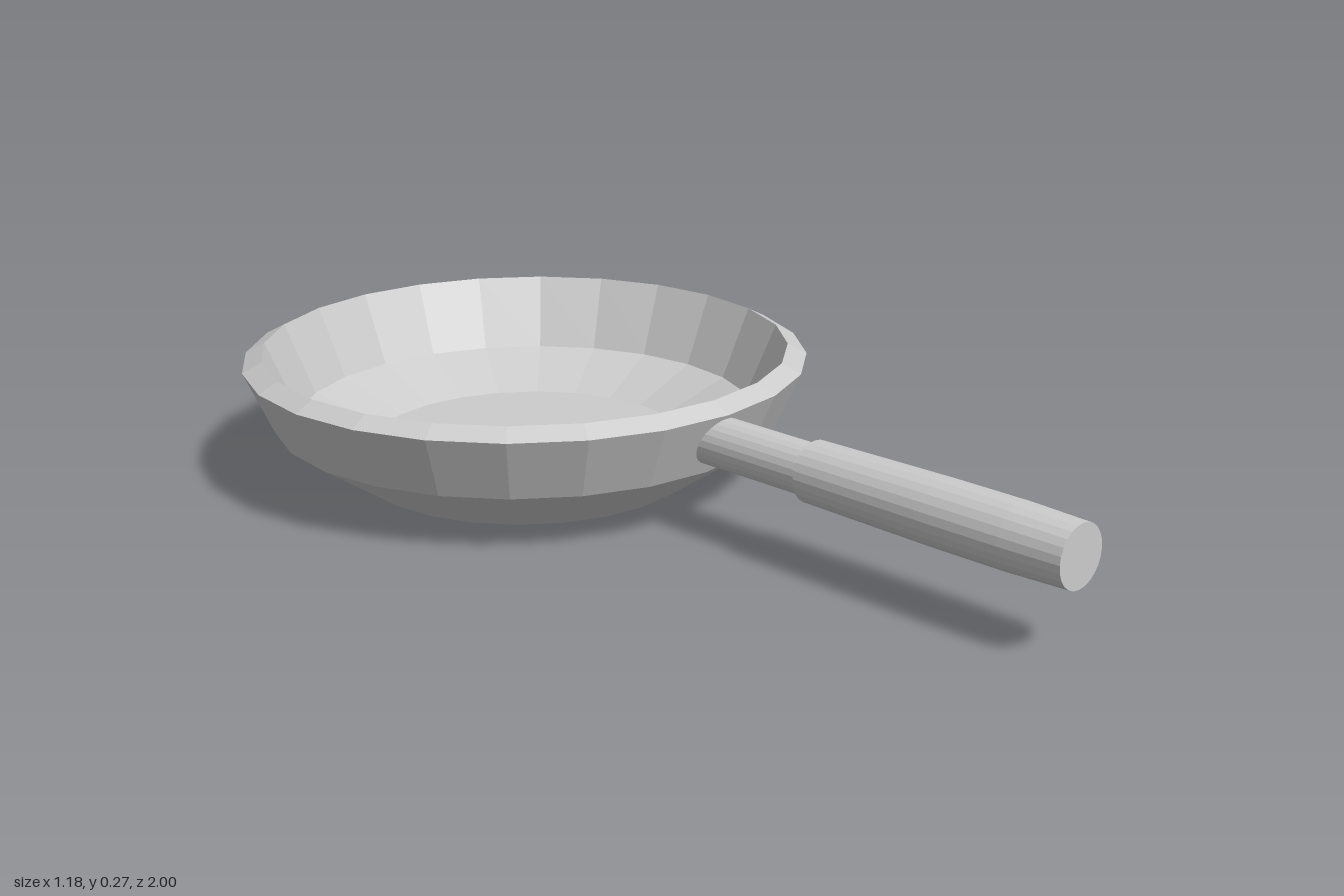
import * as THREE from 'three';

const material = new THREE.MeshStandardMaterial({ color: 0xcccccc, flatShading: true });

// Turned part from [radius, height] pairs
function turned(name, profile, sides) {
  const points = profile.map(([r, y]) => new THREE.Vector2(r, y));
  const mesh = new THREE.Mesh(new THREE.LatheGeometry(points, sides), material);
  mesh.name = name;
  return mesh;
}

export function createModel() {
  const group = new THREE.Group();
  group.name = 'fryingPan';

  // Pan: outer underside and wall, bevelled rim, inner wall and floor
  const pan = turned('pan', [
    [0, 0], [0.352, 0], [0.53, 0.12], [0.59, 0.252], [0.55, 0.273],
    [0.485, 0.123], [0.335, 0.06], [0, 0.06],
  ], 24);
  pan.position.z = -0.41;
  group.add(pan);

  // Handle: thin neck through the wall, then a slightly swollen grip
  const handle = new THREE.Group();
  handle.name = 'handle';
  handle.add(turned('neck', [[0, 0.121], [0.051, 0.121], [0.051, 0.42], [0, 0.42]], 24));
  handle.add(turned('grip', [
    [0, 0.4], [0.061, 0.4], [0.065, 0.7], [0.065, 0.87], [0.061, 1], [0, 1],
  ], 24));
  handle.rotation.x = Math.PI / 2;
  handle.position.y = 0.193;
  group.add(handle);

  return group;
}
